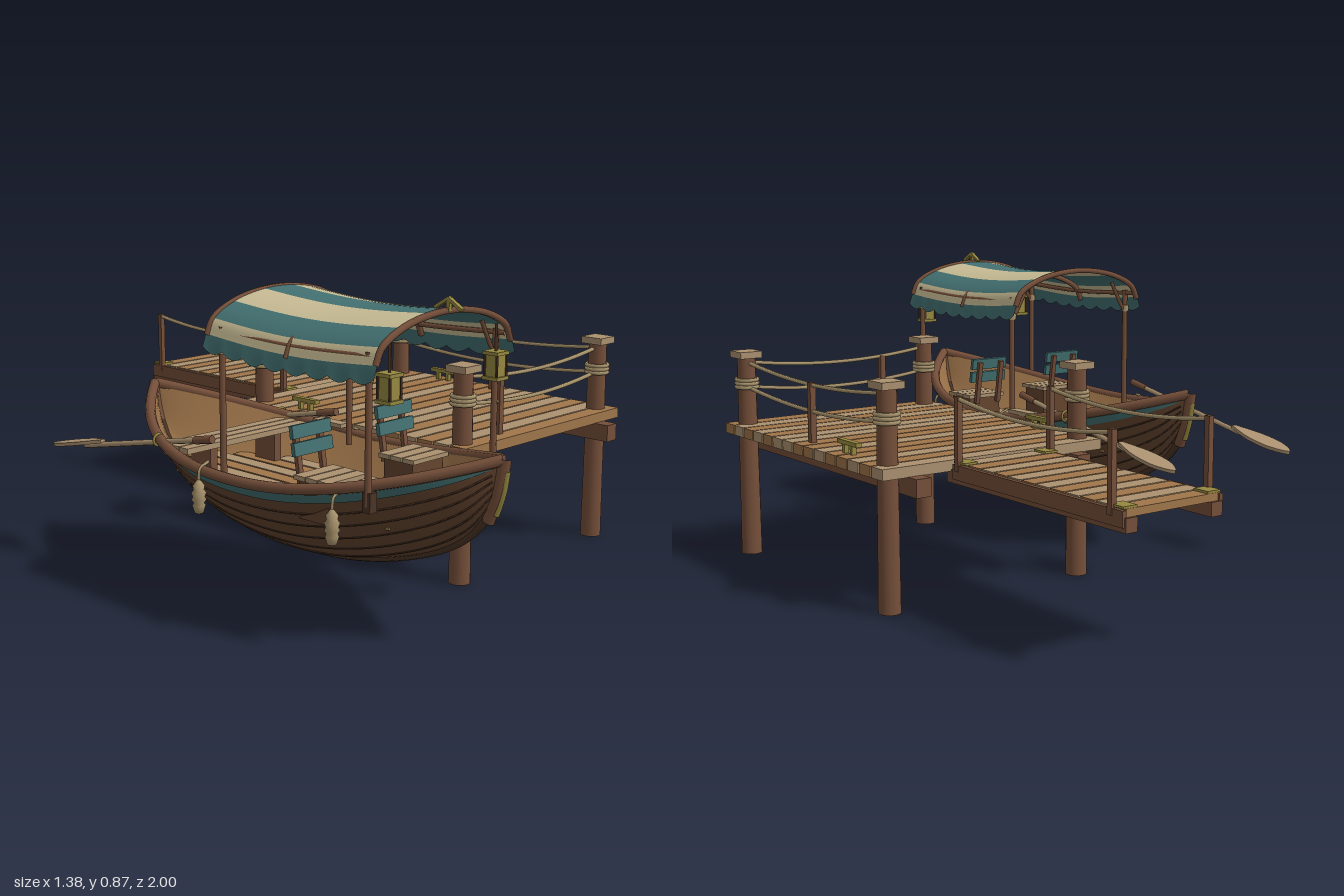
import * as THREE from 'three';

const mat = (name, color, side = THREE.FrontSide) => {
  const m = new THREE.MeshStandardMaterial({ color, side });
  m.name = name;
  return m;
};
const V = (x, y, z) => new THREE.Vector3(x, y, z);

export function createModel() {
  const D = THREE.DoubleSide;
  const hullWood = mat('hullWood', 0x65452f, D), post = mat('postWood', 0x754f3a), tan = mat('tanWood', 0xa0764b, D);
  const pale = mat('paleWood', 0xab9170), teal = mat('teal', 0x437071, D), cream = mat('cream', 0xc8bc94, D);
  const gold = mat('brass', 0x968840), dark = mat('darkWood', 0x4a3426), rope = mat('rope', 0xa8936c);

  const root = new THREE.Group();
  const group = (name, parent = root) => {
    const g = new THREE.Group();
    g.name = name;
    parent.add(g);
    return g;
  };
  const add = (parent, name, geo, m, x = 0, y = 0, z = 0) => {
    const mesh = new THREE.Mesh(geo, m);
    mesh.name = name;
    mesh.position.set(x, y, z);
    parent.add(mesh);
    return mesh;
  };
  const box = (p, name, m, w, h, d, x, y, z) => add(p, name, new THREE.BoxGeometry(w, h, d), m, x, y, z);
  const cyl = (p, name, m, r0, r1, h, x, y, z, n = 12) => add(p, name, new THREE.CylinderGeometry(r0, r1, h, n), m, x, y, z);
  const tube = (p, name, m, pts, r, n = 24, sides = 6) =>
    add(p, name, new THREE.TubeGeometry(new THREE.CatmullRomCurve3(pts), n, r, sides), m);
  const sagRope = (p, a, b, sag) => {
    const mid = a.clone().lerp(b, 0.5);
    mid.y -= sag;
    const ctrl = mid.clone().multiplyScalar(2).sub(a.clone().add(b).multiplyScalar(0.5));
    add(p, 'rope', new THREE.TubeGeometry(new THREE.QuadraticBezierCurve3(a, ctrl, b), 16, 0.006, 6), rope);
  };
  // Surface from a rule fn(u, v), u and v in 0..1
  const sheet = (p, name, m, fn, nu, nv) => {
    const pos = [], idx = [];
    for (let i = 0; i <= nu; i++) for (let j = 0; j <= nv; j++) pos.push(...fn(i / nu, j / nv).toArray());
    for (let i = 0; i < nu; i++) for (let j = 0; j < nv; j++) {
      const a = i * (nv + 1) + j, b = a + nv + 1;
      idx.push(a, b, a + 1, b, b + 1, a + 1);
    }
    const g = new THREE.BufferGeometry();
    g.setAttribute('position', new THREE.Float32BufferAttribute(pos, 3));
    g.setIndex(idx);
    g.computeVertexNormals();
    return add(p, name, g, m);
  };

  // ---- Dock ----
  const dock = group('dock');
  [...'LTLTTLTTLLTLTLT'].forEach((c, i) =>
    box(dock, 'deckPlank', c === 'L' ? pale : tan, 0.73, 0.03, 0.054, 0.325, 0.385, -0.273 + i * 0.06));
  for (const x of [0.055, 0.59]) box(dock, 'joist', post, 0.046, 0.05, 0.98, x, 0.346, 0.15);
  for (const x of [0.005, 0.64]) for (const z of [-0.245, 0.545]) {
    cyl(dock, 'dockPost', post, 0.027, 0.031, 0.605, x, 0.3025, z, 16);
    box(dock, 'postCap', pale, 0.07, 0.02, 0.07, x, 0.61, z);
    for (let k = 0; k < 3; k++) {
      const ring = add(dock, 'ropeWrap', new THREE.TorusGeometry(0.032, 0.006, 6, 16), rope, x, 0.512 + k * 0.011, z);
      ring.rotation.x = Math.PI / 2;
    }
  }
  for (const y of [0.585, 0.51]) {
    sagRope(dock, V(0.02, y, 0.545), V(0.62, y, 0.545), 0.022);
    sagRope(dock, V(0.64, y, 0.525), V(0.64, y, -0.225), 0.022);
  }
  // Slim middle rail posts seen between the rope spans
  box(dock, 'railPost', post, 0.018, 0.17, 0.018, 0.64, 0.485, 0.15);
  for (const x of [0, 0.645]) {
    box(dock, 'cleatBar', gold, 0.018, 0.012, 0.1, x, 0.43, -0.06);
    for (const dz of [-0.02, 0.02]) box(dock, 'cleatFoot', gold, 0.014, 0.03, 0.012, x, 0.413, -0.06 + dz);
  }

  // ---- Gangway ----
  const gangway = group('gangway');
  for (let i = 0; i < 12; i++)
    box(gangway, 'gangwayPlank', i % 2 ? tan : pale, 0.29, 0.02, 0.051, 0.325, 0.385, -0.335 - i * 0.0575);
  for (const x of [0.19, 0.46]) box(gangway, 'stringer', post, 0.036, 0.036, 0.72, x, 0.357, -0.64);
  for (const x of [0.172, 0.478]) {
    box(gangway, 'edgeStrip', post, 0.012, 0.04, 0.68, x, 0.372, -0.655);
    for (const z of [-0.335, -0.95]) {
      box(gangway, 'gangwayPost', post, 0.016, 0.2, 0.016, x, 0.475, z);
      box(gangway, 'cornerPlate', gold, 0.042, 0.006, 0.05, x + (x < 0.3 ? 0.02 : -0.02), 0.398, z < -0.5 ? -0.967 : -0.34);
    }
    sagRope(gangway, V(x, 0.568, -0.335), V(x, 0.568, -0.95), 0.024);
  }

  // ---- Boat hull: t runs stern to bow (-1..1), f across the section (-1..1) ----
  const boat = group('boat');
  boat.position.x = -0.37;
  const keel = t => 0.14 + 0.19 * t * t + 0.11 * t ** 12;
  const sheer = t => 0.385 + 0.115 * t * t;
  const half = t => 0.285 * (1 - Math.abs(t) ** 2.5);
  const hullPt = (t, f, off = 0) => V(
    f * Math.max(0, half(t) + off), keel(t) - off + (sheer(t) - keel(t) + off) * Math.abs(f) ** 1.8, 0.33 + 0.645 * t);
  sheet(boat, 'hullOutside', hullWood, (u, v) => hullPt(u * 2 - 1, v * 2 - 1), 48, 28);
  sheet(boat, 'hullInside', tan, (u, v) => hullPt((u * 2 - 1) * 0.985, v * 2 - 1, -0.014), 48, 28);
  const along = (f, off, t0 = -1, t1 = 1) =>
    Array.from({ length: 25 }, (_, i) => hullPt(t0 + (t1 - t0) * i / 24, f, off));
  for (const s of [-1, 1]) {
    tube(boat, 'gunwale', post, along(s, 0.003), 0.015, 64, 8);
    sheet(boat, 'tealBand', teal, (u, v) => hullPt((u * 2 - 1) * 0.985, s * (0.9 + 0.06 * v), 0.004), 48, 2);
    for (const f of [0.25, 0.42, 0.57, 0.7, 0.81]) tube(boat, 'plankSeam', dark, along(s * f, 0.001, -0.97, 0.97), 0.0025, 48, 4);
  }
  tube(boat, 'keel', dark, along(0, 0), 0.012, 48, 8);
  for (const s of [-1, 1]) {
    tube(boat, 'stemPost', post, [V(0, 0.34, 0.33 + s * 0.605), V(0, 0.42, 0.33 + s * 0.635), V(0, 0.505, 0.33 + s * 0.65)], 0.016, 12, 8);
    tube(boat, 'stemPlate', gold, [V(0, 0.36, 0.33 + s * 0.626), V(0, 0.42, 0.33 + s * 0.646), V(0, 0.475, 0.33 + s * 0.656)], 0.009, 10, 6);
  }

  // Floorboards, longest in the middle
  const reach = [0.53, 0.47, 0.4, 0.27];
  for (let i = -3; i <= 3; i++)
    box(boat, 'floorboard', i % 2 ? pale : tan, 0.046, 0.012, reach[Math.abs(i)] * 2, i * 0.053, 0.307, 0.33);
  // Rowing bench
  for (let k = 0; k < 3; k++) box(boat, 'benchPlank', pale, 0.45, 0.016, 0.033, 0, 0.402, 0.002 + k * 0.037);
  box(boat, 'benchBeam', post, 0.4, 0.025, 0.02, 0, 0.38, -0.03);
  for (const s of [-1, 1]) box(boat, 'benchLeg', post, 0.025, 0.09, 0.08, s * 0.12, 0.35, 0.04);
  box(boat, 'boardingStep', pale, 0.035, 0.012, 0.11, 0.27, 0.41, 0.145);

  for (const s of [-1, 1]) {
    // Passenger seat with a slatted back
    const seat = group('seat', boat);
    seat.position.set(s * 0.155, 0, 0.56);
    box(seat, 'seatBox', hullWood, 0.12, 0.1, 0.1, 0, 0.355, 0);
    for (let k = 0; k < 3; k++) box(seat, 'seatSlat', pale, 0.14, 0.012, 0.038, 0, 0.411, -0.042 + k * 0.042);
    const back = group('seatBack', seat);
    back.position.set(0, 0.4, -0.055);
    back.rotation.x = -0.16;
    for (const x of [-0.042, 0.042]) box(back, 'backPost', post, 0.015, 0.14, 0.012, x, 0.06, -0.01);
    for (const y of [0.078, 0.122]) box(back, 'backSlat', teal, 0.135, 0.034, 0.012, 0, y, 0.002);

    // Oar resting over the rim, blade astern
    const oar = group('oar', boat);
    oar.position.set(s * 0.232, 0.385, -0.15);
    oar.rotation.x = -0.2;
    cyl(oar, 'oarShaft', pale, 0.008, 0.008, 0.56, 0, 0, 0.075, 8).rotation.x = Math.PI / 2;
    cyl(oar, 'oarGrip', post, 0.011, 0.011, 0.07, 0, 0, 0.325, 8).rotation.x = Math.PI / 2;
    const blade = new THREE.Shape();
    blade.moveTo(-0.008, 0.12);
    blade.bezierCurveTo(-0.02, 0.17, -0.044, 0.2, -0.036, 0.29);
    blade.quadraticCurveTo(-0.025, 0.34, 0, 0.36);
    blade.quadraticCurveTo(0.025, 0.34, 0.036, 0.29);
    blade.bezierCurveTo(0.044, 0.2, 0.02, 0.17, 0.008, 0.12);
    const bg = new THREE.ExtrudeGeometry(blade, { depth: 0.01, bevelEnabled: false });
    add(oar, 'oarBlade', bg, pale, 0, 0.005, 0).rotation.x = -Math.PI / 2;
    add(boat, 'oarlock', new THREE.TorusGeometry(0.016, 0.004, 6, 14), gold, s * 0.232, 0.418, -0.02);

    // Rope fenders hung on the side
    for (const z of [0.23, 0.66]) {
      const x = s * (half((z - 0.33) / 0.645) + 0.022);
      const prof = [[0.001, 0.275], [0.012, 0.28], [0.018, 0.3], [0.014, 0.306], [0.02, 0.315], [0.016, 0.323],
        [0.02, 0.333], [0.014, 0.341], [0.016, 0.352], [0.006, 0.365], [0.001, 0.37]].map(p => new THREE.Vector2(...p));
      add(boat, 'fender', new THREE.LatheGeometry(prof, 12), rope, x, 0, z);
      tube(boat, 'fenderRope', rope, [V(x, 0.36, z), V(x - s * 0.005, 0.395, z), V(x - s * 0.035, 0.41, z)], 0.004, 8);
    }

    // Canopy poles, braces and side rail
    for (const z of [0.25, 0.76]) {
      const foot = z < 0.5 ? 0.37 : 0.39;
      cyl(boat, 'canopyPole', post, 0.008, 0.009, 0.76 - foot, s * 0.235, (0.76 + foot) / 2, z, 8);
      tube(boat, 'brace', post, [V(s * 0.232, 0.69, z), V(s * 0.205, 0.735, z), V(s * 0.175, 0.79, z)], 0.006, 8);
      cyl(boat, 'poleBinding', rope, 0.012, 0.012, 0.02, s * 0.235, 0.7, z, 8);
      if (z > 0.5) box(boat, 'poleFoot', dark, 0.025, 0.05, 0.025, s * 0.23, 0.4, z);
    }
    tube(boat, 'canopyRail', post, [V(s * 0.236, 0.752, 0.21), V(s * 0.236, 0.742, 0.5), V(s * 0.236, 0.752, 0.79)], 0.007, 12);

    // Hanging lantern
    const lantern = group('lantern', boat);
    lantern.position.set(s * 0.198, 0.675, 0.79);
    box(lantern, 'lanternGlass', gold, 0.036, 0.055, 0.036, 0, 0, 0);
    for (const y of [-0.032, 0.032]) box(lantern, 'lanternPlate', gold, 0.048, 0.009, 0.048, 0, y, 0);
    for (const x of [-1, 1]) for (const z of [-1, 1]) box(lantern, 'lanternBar', dark, 0.005, 0.056, 0.005, x * 0.019, 0, z * 0.019);
    cyl(lantern, 'lanternHook', dark, 0.004, 0.004, 0.07, 0, 0.07, 0, 6);
  }

  // ---- Canopy: nine stripes across the arch, scalloped lower edges ----
  const side = [[0.262, 0.703], [0.25, 0.735], [0.23, 0.775], [0.16, 0.812], [0.053, 0.834]];
  const archPts = [...side.map(([x, y]) => V(-x, y, 0)), ...side.slice().reverse().map(([x, y]) => V(x, y, 0))];
  const arch = new THREE.CatmullRomCurve3(archPts);
  const canopy = group('canopy', boat);
  for (let k = 0; k < 9; k++) {
    sheet(canopy, 'canopyStripe', k % 2 ? cream : teal, (u, v) => {
      const p = arch.getPoint((k + u) / 9);
      const edge = k === 0 ? 1 - u : k === 8 ? u : 0;
      p.y += -0.016 * Math.sin(Math.PI * v) + 0.004 * (1 - v) - 0.013 * edge * Math.abs(Math.sin(v * Math.PI * 8));
      p.z = 0.205 + 0.595 * v;
      return p;
    }, 6, 48);
  }
  for (const [z, dy] of [[0.21, 0], [0.5, -0.024], [0.795, -0.002]])
    tube(canopy, 'canopyArch', post, archPts.slice(1, 9).map(p => V(p.x, p.y + dy, z)), 0.009, 40, 6);
  // Brass ridge ornament
  for (const s of [-1, 1])
    box(canopy, 'ridgeOrnament', gold, 0.012, 0.008, 0.05, 0, 0.853, 0.8 + s * 0.02).rotation.x = s * 0.55;
  box(canopy, 'ornamentStem', gold, 0.01, 0.035, 0.01, 0, 0.85, 0.8);

  // Rail post on the far rope line beside the bench
  box(dock, 'railPost', post, 0.018, 0.17, 0.018, 0.165, 0.485, 0.545);

  // Centre on x and z, stand on y = 0
  const b = new THREE.Box3().setFromObject(root);
  const c = b.getCenter(V(0, 0, 0));
  for (const g of root.children) g.position.sub(V(c.x, b.min.y, c.z));
  return root;
}
